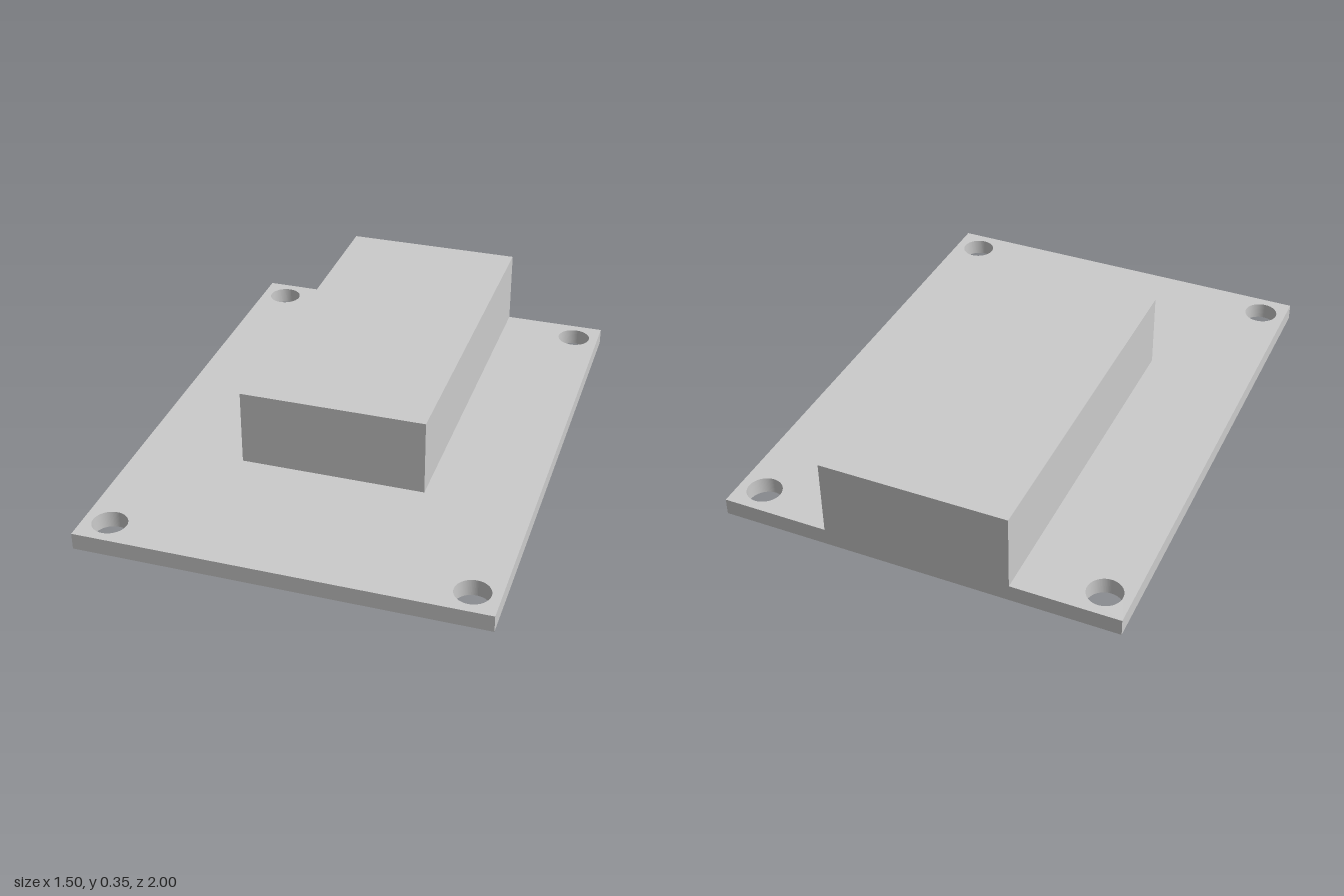
import * as THREE from 'three';

const WIDTH = 1.497, LENGTH = 2, PLATE = 0.063, TOP = 0.352;
const BLOCK_WIDTH = 0.697, BLOCK_LENGTH = 1.398;
const HOLE_X = 0.65, HOLE_Z = 0.9, HOLE_R = 0.064;

export function createModel() {
  const group = new THREE.Group();
  const material = new THREE.MeshStandardMaterial({ color: 0xcccccc });

  // Base plate with a round hole near each corner
  const outline = new THREE.Shape([
    new THREE.Vector2(-WIDTH / 2, -LENGTH / 2),
    new THREE.Vector2(WIDTH / 2, -LENGTH / 2),
    new THREE.Vector2(WIDTH / 2, LENGTH / 2),
    new THREE.Vector2(-WIDTH / 2, LENGTH / 2),
  ]);
  for (const sx of [-1, 1]) {
    for (const sz of [-1, 1]) {
      outline.holes.push(new THREE.Path().absarc(sx * HOLE_X, sz * HOLE_Z, HOLE_R, 0, Math.PI * 2, true));
    }
  }
  const plateGeometry = new THREE.ExtrudeGeometry(outline, { depth: PLATE, bevelEnabled: false, curveSegments: 48 });
  plateGeometry.rotateX(-Math.PI / 2);
  const plate = new THREE.Mesh(plateGeometry, material);
  plate.name = 'basePlate';
  group.add(plate);

  // Raised block, flush with the back edge of the plate
  const block = new THREE.Mesh(new THREE.BoxGeometry(BLOCK_WIDTH, TOP - PLATE, BLOCK_LENGTH), material);
  block.name = 'raisedBlock';
  block.position.set(0, (TOP + PLATE) / 2, (BLOCK_LENGTH - LENGTH) / 2);
  group.add(block);

  return group;
}
